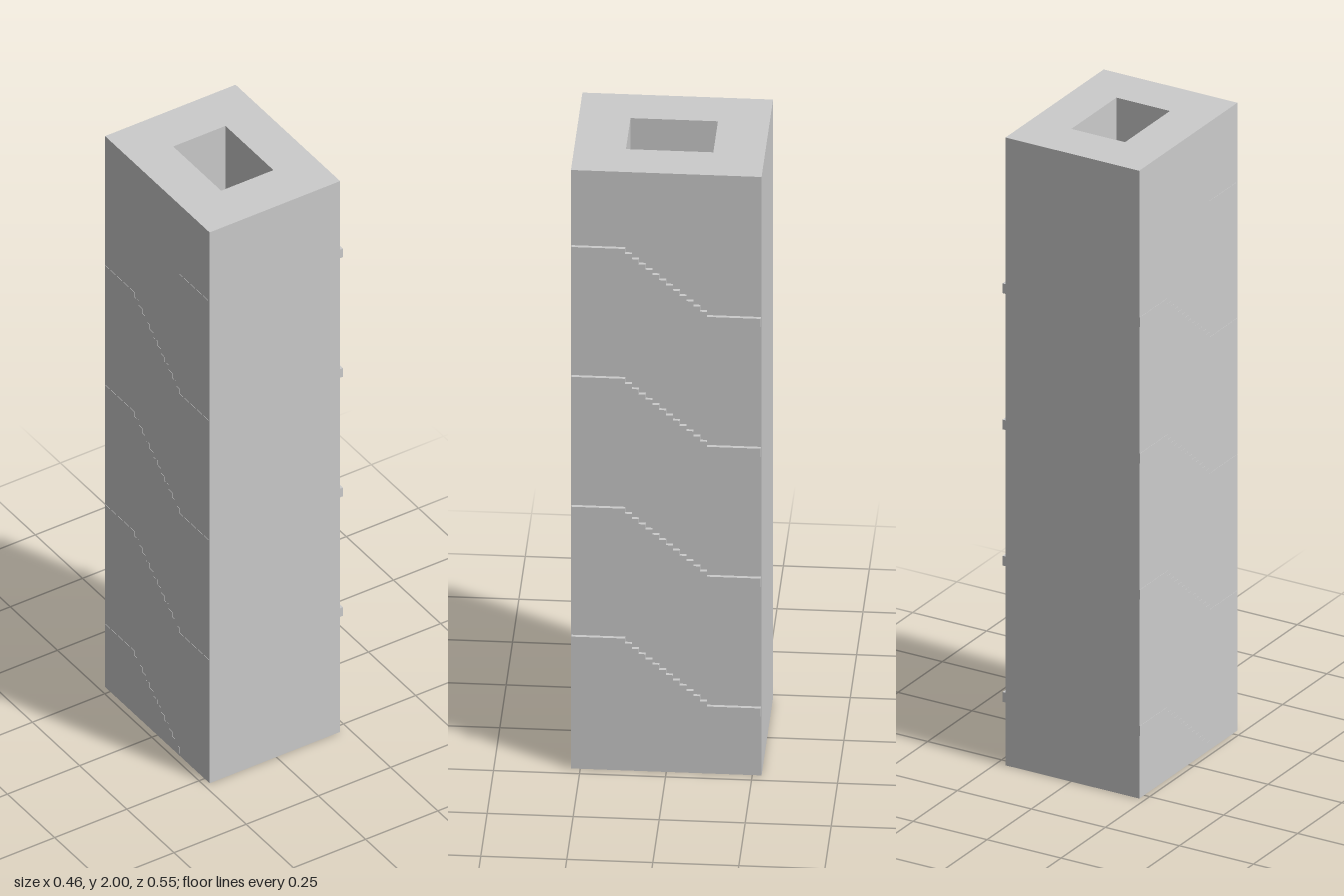
import * as THREE from 'three';

const FLIGHTS = 8, RISE = 0.217, BASE = 0.013;
const STEPS = 12, RUN = 0.238, RISER = RISE / (STEPS + 1);
const OUT_X = 0.232, IN_X = 0.089, OUT_Z = 0.275, IN_Z = RUN / 2;

export function createModel() {
  const model = new THREE.Group();
  const mat = new THREE.MeshStandardMaterial({ color: 0xcccccc, flatShading: true });

  const box = (parent, name, x0, x1, y0, y1, z0, z1) => {
    const m = new THREE.Mesh(new THREE.BoxGeometry(x1 - x0, y1 - y0, z1 - z0), mat);
    m.position.set((x0 + x1) / 2, (y0 + y1) / 2, (z0 + z1) / 2);
    m.name = name;
    parent.add(m);
  };
  const rect = (target, x0, x1, z0, z1) => {
    target.moveTo(x0, z0);
    target.lineTo(x1, z0);
    target.lineTo(x1, z1);
    target.lineTo(x0, z1);
    target.closePath();
    return target;
  };

  // Tower block with an open stairwell running through its full height
  const plan = rect(new THREE.Shape(), -0.231, 0.221, -0.277, 0.277);
  plan.holes.push(rect(new THREE.Path(), -0.093, 0.088, -0.127, 0.127));
  const geo = new THREE.ExtrudeGeometry(plan, { depth: 2, bevelEnabled: false });
  geo.rotateX(-Math.PI / 2);
  const tower = new THREE.Mesh(geo, mat);
  tower.name = 'towerBlock';
  model.add(tower);

  // Stair flights alternate sides, each climbing to a landing at one end
  for (let f = 0; f < FLIGHTS; f++) {
    const flight = new THREE.Group();
    flight.name = 'stairFlight' + (f + 1);
    const side = f % 2 ? 1 : -1; // side in x, and the z direction of the climb
    const y = BASE + f * RISE;
    const [x0, x1] = side > 0 ? [IN_X, OUT_X] : [-OUT_X, -IN_X];
    for (let i = 0; i < STEPS; i++) {
      const zc = side * (-RUN / 2 + (i + 0.5) * RUN / STEPS);
      const top = y + (i + 1) * RISER;
      box(flight, 'step', x0, x1, top - 0.022, top, zc - RUN / STEPS / 2, zc + RUN / STEPS / 2);
    }
    const top = y + RISE;
    const [z0, z1] = side > 0 ? [IN_Z, OUT_Z] : [-OUT_Z, -IN_Z];
    box(flight, 'landing', -OUT_X, OUT_X, top - 0.031, top, z0, z1);
    model.add(flight);
  }
  return model;
}
